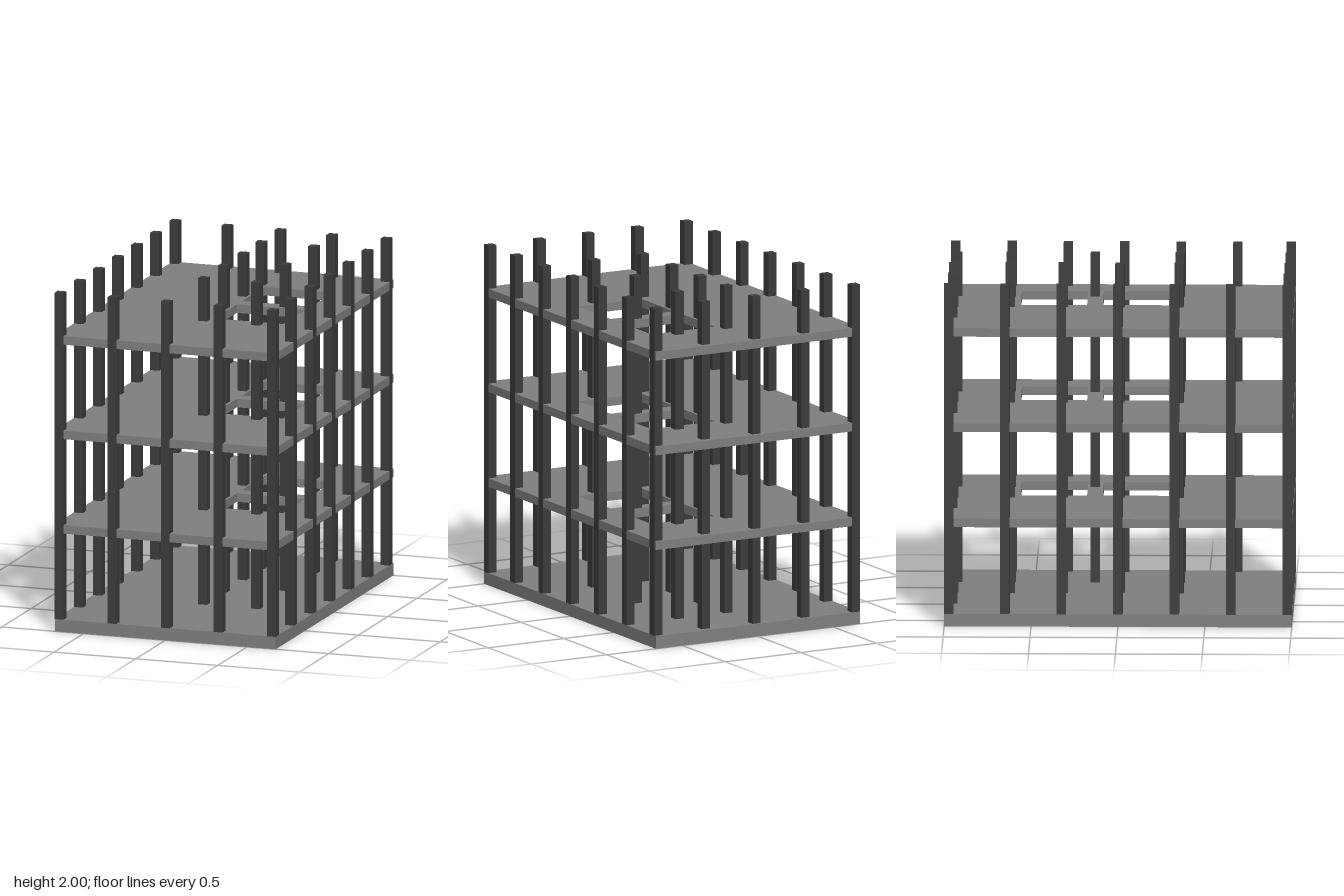
import * as THREE from 'three';

const slabMaterial = new THREE.MeshStandardMaterial({ color: 0x808080 });
slabMaterial.name = 'concrete grey';
const columnMaterial = new THREE.MeshStandardMaterial({ color: 0x3c3c3c });
columnMaterial.name = 'dark grey';

const HALF_X = 0.675, BASE_H = 0.073, FLOOR_H = 0.05, COLUMN_W = 0.054;

// Rectangle outline in plan; y of the shape is -z of the model
function rectangle(path, x0, x1, z0, z1) {
  path.moveTo(x0, -z1);
  path.lineTo(x1, -z1);
  path.lineTo(x1, -z0);
  path.lineTo(x0, -z0);
  path.closePath();
  return path;
}

// Floor slab with the two stairwell openings
function floorGeometry() {
  const shape = rectangle(new THREE.Shape(), -HALF_X, HALF_X, -1, 1);
  for (const [z0, z1] of [[-0.572, -0.19], [-0.1, 0.28]]) {
    shape.holes.push(rectangle(new THREE.Path(), 0.042, 0.462, z0, z1));
  }
  return new THREE.ExtrudeGeometry(shape, { depth: FLOOR_H, bevelEnabled: false }).rotateX(-Math.PI / 2);
}

// Column centres: each row is one x line with its z positions
const columnRows = [
  [-0.649, [-0.974, -0.65, -0.327, 0, 0.325, 0.648, 0.974]],
  [-0.325, [-0.957, 0.974]],
  [0, [-0.957, -0.632, -0.327, 0, 0.34, 0.974]],
  [0.323, [-0.938, -0.632, -0.147, 0.34, 0.974]],
  [0.649, [-0.957, -0.632, -0.308, 0.016, 0.34, 0.667, 0.974]],
];

export function createModel() {
  const model = new THREE.Group();
  model.name = 'buildingFrame';

  // Foundation
  const base = new THREE.Mesh(new THREE.BoxGeometry(2 * HALF_X, BASE_H, 2), slabMaterial);
  base.name = 'foundationSlab';
  base.position.y = BASE_H / 2;
  model.add(base);

  // Three upper floors
  const floor = floorGeometry();
  [0.581, 1.139, 1.697].forEach((y, i) => {
    const slab = new THREE.Mesh(floor, slabMaterial);
    slab.name = `floorSlab${i + 1}`;
    slab.position.y = y;
    model.add(slab);
  });

  // Columns running full height through the floors
  const columns = new THREE.Group();
  columns.name = 'columns';
  const height = 2 - BASE_H;
  const columnGeometry = new THREE.BoxGeometry(COLUMN_W, height, COLUMN_W);
  for (const [x, zs] of columnRows) {
    for (const z of zs) {
      const column = new THREE.Mesh(columnGeometry, columnMaterial);
      column.name = 'column';
      column.position.set(x, BASE_H + height / 2, z);
      columns.add(column);
    }
  }
  model.add(columns);
  return model;
}
